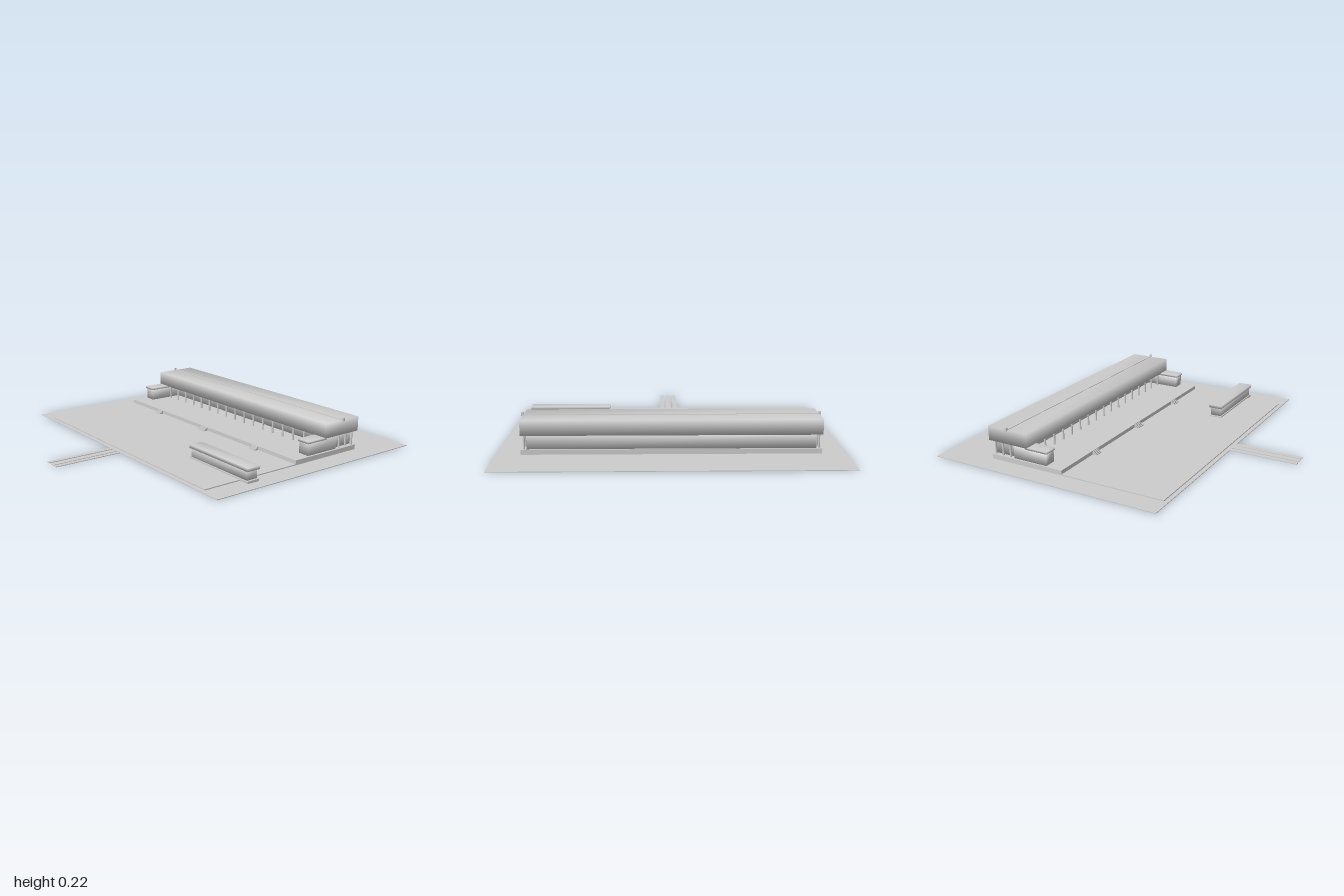
import * as THREE from 'three';
import { mergeVertices } from 'three/addons/utils/BufferGeometryUtils.js';

const stone = new THREE.MeshStandardMaterial({ color: 0xcccccc });
stone.name = 'stone grey';

// Box given by its limits; soft boxes share corner normals across faces
function block(parent, name, [x0, x1], [y0, y1], [z0, z1], soft = false) {
  let geo = new THREE.BoxGeometry(x1 - x0, y1 - y0, z1 - z0);
  if (soft) {
    geo.deleteAttribute('normal');
    geo.deleteAttribute('uv');
    geo = mergeVertices(geo);
    geo.computeVertexNormals();
  }
  const mesh = new THREE.Mesh(geo, stone);
  mesh.name = name;
  mesh.position.set((x0 + x1) / 2, (y0 + y1) / 2, (z0 + z1) / 2);
  parent.add(mesh);
  return mesh;
}

function group(parent, name) {
  const g = new THREE.Group();
  g.name = name;
  parent.add(g);
  return g;
}

export function createModel() {
  const model = new THREE.Group();
  model.name = 'columnedHall';

  // Ground, forecourt, raised terrace
  const site = group(model, 'site');
  block(site, 'ground', [-1, 1], [0, 0.004], [-0.975, 0.542]);
  block(site, 'forecourt', [-0.863, 0.86], [0.004, 0.01], [-0.155, 0.515]);
  block(site, 'terrace', [-0.863, 0.86], [0.004, 0.034], [-0.655, -0.153]);

  // Three approach paths
  for (const [a, b] of [[-0.06, -0.032], [-0.02, 0.019], [0.026, 0.055]])
    block(site, 'approachPath', [a, b], [0, 0.004], [0.542, 0.973]);

  // Stairs up to the terrace
  for (const [x, w] of [[-0.51, 0.054], [-0.003, 0.066], [0.506, 0.054]]) {
    const stairs = group(site, 'stairs');
    for (let i = 0; i < 4; i++)
      block(stairs, 'step', [x - w / 2, x + w / 2], [0.01, 0.015 + i * 0.005],
        [-0.153, -0.124 - i * 0.007]);
  }

  // Main hall and its large roof block
  const hall = group(model, 'hall');
  block(hall, 'hallWalls', [-0.83, 0.826], [0.034, 0.12], [-0.645, -0.5], true);
  block(hall, 'roof', [-0.862, 0.857], [0.12, 0.21], [-0.675, -0.395], true);
  block(hall, 'ridgeBeam', [-0.862, 0.857], [0.205, 0.213], [-0.543, -0.531]);
  for (const x of [-0.864, 0.862])
    block(hall, 'ridgeFinial', [x - 0.006, x + 0.006], [0.205, 0.225], [-0.544, -0.53]);

  // Front colonnade
  const columns = group(hall, 'colonnade');
  const shaft = new THREE.CylinderGeometry(0.006, 0.006, 0.086, 10);
  const addColumn = (x, z) => {
    const column = new THREE.Mesh(shaft, stone);
    column.name = 'column';
    column.position.set(x, 0.077, z);
    columns.add(column);
  };
  for (let i = 0; i < 17; i++) {
    const x = -0.752 + i * 0.094;
    addColumn(x, -0.415);
    block(columns, 'bracket', [x - 0.013, x + 0.013], [0.11, 0.12], [-0.421, -0.409]);
  }
  // End columns
  for (const x of [-0.845, 0.841])
    for (const z of [-0.53, -0.585, -0.64]) addColumn(x, z);

  // Side wings reaching forward from the hall
  for (const [name, x] of [['rightWing', -0.813], ['leftWing', 0.808]]) {
    const wing = group(model, name);
    block(wing, 'wingWalls', [x - 0.038, x + 0.038], [0.034, 0.11], [-0.5, -0.266], true);
    block(wing, 'wingRoof', [x - 0.043, x + 0.043], [0.109, 0.123], [-0.41, -0.258], true);
  }

  // Separate low pavilion on the forecourt
  const pavilion = group(model, 'pavilion');
  block(pavilion, 'pavilionBase', [0.4, 0.925], [0.004, 0.018], [0.187, 0.272]);
  block(pavilion, 'pavilionWalls', [0.41, 0.912], [0.018, 0.075], [0.193, 0.264], true);
  block(pavilion, 'pavilionRoof', [0.4, 0.925], [0.073, 0.094], [0.182, 0.272], true);

  return model;
}
